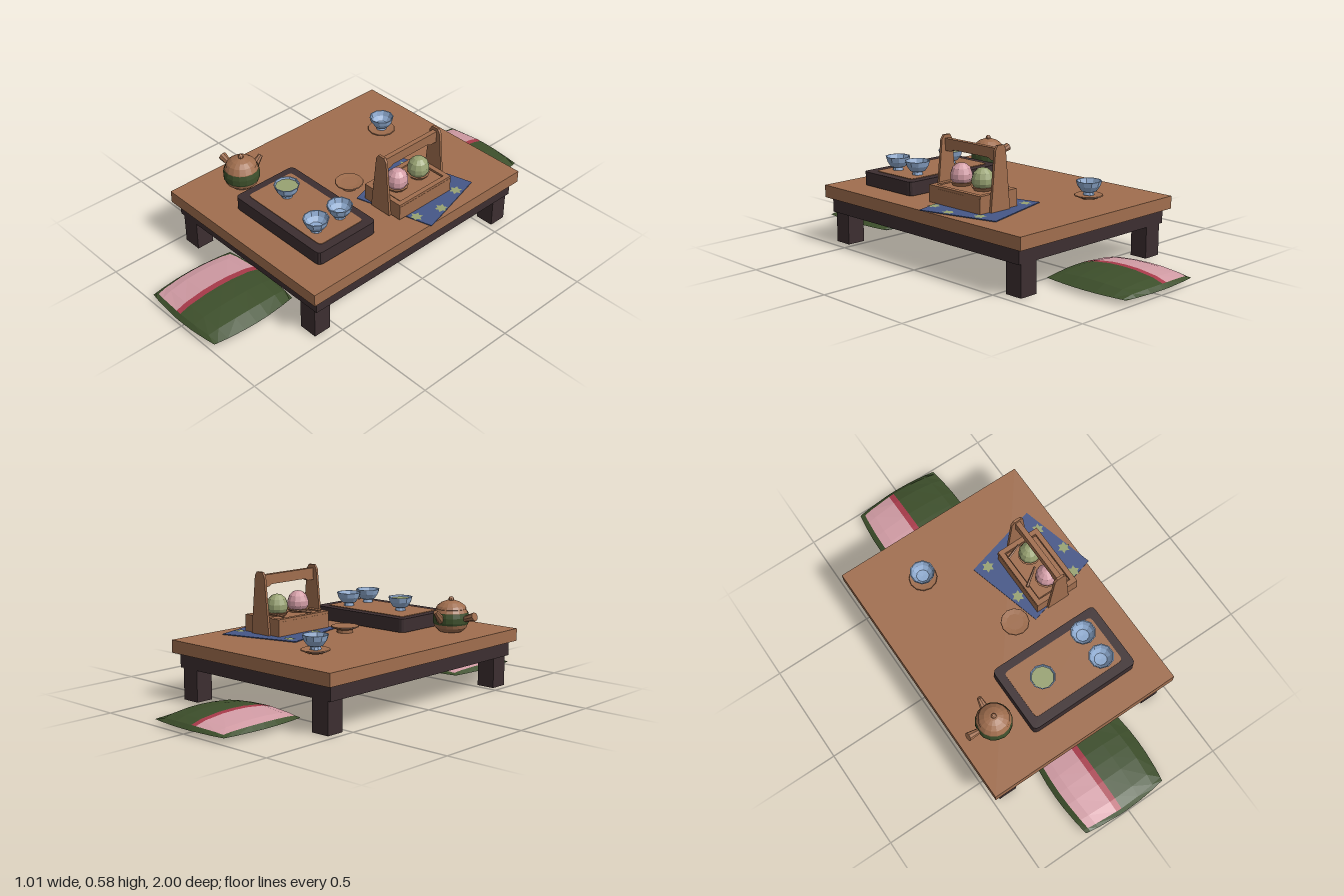
import * as THREE from 'three';

const mat = (name, color, flatShading = true) =>
  Object.assign(new THREE.MeshStandardMaterial({ color, flatShading, side: THREE.DoubleSide }), { name });

export function createModel() {
  const wood = mat('wood', 0xa06e4e);
  const dark = mat('dark wood', 0x3c2e30);
  const glaze = mat('blue glaze', 0x8fabd0);
  const green = mat('dark green', 0x3d4f2b);
  const pink = mat('pink', 0xd29ca5);
  const red = mat('red', 0xa83a4a);
  const blue = mat('cloth blue', 0x465788);
  const matcha = mat('matcha green', 0x98a272);

  const root = new THREE.Group();
  root.name = 'teaTable';
  const add = (name, geo, m, x = 0, y = 0, z = 0, parent = root) => {
    const mesh = new THREE.Mesh(geo, m);
    mesh.name = name;
    mesh.position.set(x, y, z);
    parent.add(mesh);
    return mesh;
  };
  const group = (name, x, y, z) => {
    const g = new THREE.Group();
    g.name = name;
    g.position.set(x, y, z);
    root.add(g);
    return g;
  };
  const box = (name, m, x0, x1, y0, y1, z0, z1, parent) =>
    add(name, new THREE.BoxGeometry(x1 - x0, y1 - y0, z1 - z0), m,
      (x0 + x1) / 2, (y0 + y1) / 2, (z0 + z1) / 2, parent);
  const lathe = (pts, sides) =>
    new THREE.LatheGeometry(pts.map(p => new THREE.Vector2(...p)), sides);
  const rod = (name, m, a, b, r0, r1, sides, parent) => {
    const p = new THREE.Vector3(...a), d = new THREE.Vector3(...b).sub(p);
    const mesh = add(name, new THREE.CylinderGeometry(r1, r0, d.length(), sides), m, 0, 0, 0, parent);
    mesh.position.copy(p).addScaledVector(d, 0.5);
    mesh.quaternion.setFromUnitVectors(new THREE.Vector3(0, 1, 0), d.normalize());
  };

  // Table
  box('tableTop', wood, -0.51, 0.49, 0.22, 0.28, -0.65, 0.65);
  box('apron', dark, -0.485, 0.467, 0.15, 0.22, -0.62, 0.62);
  for (const x of [-0.42, 0.404])
    for (const z of [-0.573, 0.573])
      box('leg', dark, x - 0.046, x + 0.046, 0, 0.15, z - 0.044, z + 0.044);

  // Floor cushions: domed top with a pink panel and red stripe, shallow pyramid below
  const us = [-1, -0.9, -0.72, -0.21, -0.085, 0, 0.35, 0.75, 1];
  const vs = [-1, -0.92, -0.7, -0.3, 0, 0.3, 0.7, 0.92, 1];
  const point = (u, v, top) => [
    u * (0.24 - 0.02 * v * v),
    top ? 0.022 + 0.048 * Math.sqrt((1 - u * u) * (1 - v * v))
      : 0.022 * (1 - (1 - Math.abs(u)) * (1 - Math.abs(v))),
    v * (0.24 - 0.02 * u * u)];
  const cushionPart = (colour) => {
    const pos = [];
    for (let i = 0; i < us.length - 1; i++) for (let j = 0; j < vs.length - 1; j++) {
      const mid = (us[i] + us[i + 1]) / 2, inner = Math.abs(vs[j] + vs[j + 1]) < 1.84;
      const c = !inner || mid < -0.9 || mid > -0.085 ? green : mid < -0.21 ? pink : red;
      for (const top of [true, false]) {
        if ((top ? c : green) !== colour) continue;
        const q = [[0, 0], [0, 1], [1, 1], [1, 0]].map(([a, b]) => point(us[i + a], vs[j + b], top));
        for (const k of top ? [0, 1, 2, 0, 2, 3] : [0, 2, 1, 0, 3, 2]) pos.push(...q[k]);
      }
    }
    const geo = new THREE.BufferGeometry();
    geo.setAttribute('position', new THREE.Float32BufferAttribute(pos, 3));
    geo.computeVertexNormals();
    return geo;
  };
  for (const z of [-0.76, 0.76]) {
    const g = group('cushion', -0.01, 0, z);
    add('cushionBody', cushionPart(green), green, 0, 0, 0, g);
    add('cushionPanel', cushionPart(pink), pink, 0, 0, 0, g);
    add('cushionStripe', cushionPart(red), red, 0, 0, 0, g);
  }

  // Serving tray with rounded corners and a wooden inlay
  const plate = (w, d, r, h) => {
    const s = new THREE.Shape(), a = w / 2, b = d / 2;
    s.moveTo(-a + r, -b).lineTo(a - r, -b).quadraticCurveTo(a, -b, a, -b + r)
      .lineTo(a, b - r).quadraticCurveTo(a, b, a - r, b)
      .lineTo(-a + r, b).quadraticCurveTo(-a, b, -a, b - r)
      .lineTo(-a, -b + r).quadraticCurveTo(-a, -b, -a + r, -b);
    return new THREE.ExtrudeGeometry(s, { depth: h, bevelEnabled: false, curveSegments: 3 }).rotateX(-Math.PI / 2);
  };
  add('tray', plate(0.565, 0.34, 0.025, 0.065), dark, 0.082, 0.285, 0.34);
  add('trayInlay', plate(0.485, 0.255, 0.02, 0.004), wood, 0.08, 0.349, 0.338);

  // Bowls and saucers
  const bowlGeo = lathe([[0, 0], [0.026, 0], [0.023, 0.014], [0.036, 0.018], [0.053, 0.042], [0.06, 0.066],
    [0.055, 0.066], [0.047, 0.042], [0.03, 0.022], [0, 0.02]], 10);
  for (const [x, y, z] of [[-0.04, 0.353, 0.34], [0.235, 0.353, 0.27], [0.235, 0.353, 0.41], [-0.2, 0.299, -0.415]])
    add('bowl', bowlGeo, glaze, x, y, z);
  add('tea', new THREE.CylinderGeometry(0.052, 0.05, 0.004, 10), matcha, -0.04, 0.408, 0.34);
  const saucerGeo = lathe([[0, 0], [0.04, 0], [0.068, 0.012], [0.066, 0.016], [0.04, 0.013], [0, 0.013]], 12);
  add('saucer', saucerGeo, wood, -0.2, 0.284, -0.415);
  add('emptySaucer', saucerGeo, wood, 0.03, 0.296, 0.02);
  add('saucerFoot', new THREE.CylinderGeometry(0.04, 0.04, 0.015, 12), wood, 0.03, 0.289, 0.02);

  // Side-handled teapot
  const pot = group('teapot', -0.328, 0.285, 0.37);
  add('potBody', lathe([[0, 0], [0.055, 0], [0.076, 0.02], [0.084, 0.045], [0.084, 0.068], [0.078, 0.093],
    [0.07, 0.107], [0.073, 0.109], [0.066, 0.121], [0.045, 0.137], [0.02, 0.146], [0, 0.147]], 16), wood, 0, 0, 0, pot);
  add('potBand', lathe([[0.082, 0.036], [0.086, 0.045], [0.086, 0.07], [0.081, 0.092]], 16), green, 0, 0, 0, pot);
  add('lidKnob', new THREE.SphereGeometry(0.013, 8, 6), wood, 0, 0.152, 0, pot);
  rod('potHandle', wood, [-0.07, 0.062, 0], [-0.14, 0.084, 0], 0.012, 0.021, 8, pot);
  rod('potSpout', wood, [0, 0.058, -0.07], [0, 0.105, -0.118], 0.022, 0.011, 8, pot);

  // Patterned cloth
  const cloth = group('cloth', 0.262, 0.282, -0.18);
  cloth.rotation.y = 0.262;
  box('clothSheet', blue, -0.196, 0.196, 0, 0.004, -0.194, 0.194, cloth);
  const flower = new THREE.Shape();
  for (let i = 0; i < 12; i++) {
    const r = i % 2 ? 0.018 : 0.031, a = i * Math.PI / 6;
    flower[i ? 'lineTo' : 'moveTo'](r * Math.cos(a), r * Math.sin(a));
  }
  const flowerGeo = new THREE.ShapeGeometry(flower).rotateX(-Math.PI / 2);
  for (const [x, z] of [[0.088, -0.29], [0.395, -0.315], [0.443, -0.167], [0.12, -0.085], [0.41, -0.04]])
    add('clothFlower', flowerGeo, matcha, x, 0.2875, z);

  // Sweets box with end boards and a carrying bar
  const caddy = group('sweetsBox', 0.262, 0.285, -0.132);
  box('boxBase', wood, -0.113, 0.113, 0.002, 0.07, -0.165, 0.165, caddy);
  box('boxShelf', wood, -0.085, 0.085, 0.07, 0.078, -0.135, 0.135, caddy);
  for (const s of [-1, 1]) {
    box('boxRimSide', wood, s * 0.1 - 0.012, s * 0.1 + 0.012, 0.07, 0.082, -0.165, 0.165, caddy);
    box('boxRimEnd', wood, -0.09, 0.09, 0.07, 0.082, s * 0.153 - 0.012, s * 0.153 + 0.012, caddy);
  }
  const board = new THREE.Shape([[-0.058, 0], [0.058, 0], [0.031, 0.275], [0.018, 0.295], [-0.018, 0.295],
    [-0.031, 0.275]].map(p => new THREE.Vector2(...p)));
  const boardGeo = new THREE.ExtrudeGeometry(board, { depth: 0.012, bevelEnabled: false });
  for (const z of [-0.177, 0.165]) add('endBoard', boardGeo, wood, 0, 0, z, caddy);
  const bar = new THREE.Shape([[-0.177, 0.222], [-0.13, 0.222], [-0.11, 0.232], [0.11, 0.232], [0.13, 0.222],
    [0.177, 0.222], [0.177, 0.279], [-0.177, 0.279]].map(p => new THREE.Vector2(...p)));
  add('carryBar', new THREE.ExtrudeGeometry(bar, { depth: 0.024, bevelEnabled: false })
    .rotateY(Math.PI / 2), wood, -0.012, 0, 0, caddy);

  // Sweets and picks
  const sweetGeo = lathe([[0, 0], [0.042, 0], [0.051, 0.018], [0.051, 0.04], [0.042, 0.065], [0.022, 0.083], [0, 0.088]], 12);
  add('pinkSweet', sweetGeo, pink, 0, 0.092, 0.072, caddy);
  add('greenSweet', sweetGeo, matcha, 0, 0.092, -0.066, caddy);
  for (const z of [0.072, -0.066])
    add('sweetDish', new THREE.CylinderGeometry(0.054, 0.042, 0.016, 10), wood, 0, 0.086, z, caddy);
  rod('pick', wood, [-0.1, 0.088, 0.06], [-0.015, 0.096, 0], 0.007, 0.004, 5, caddy);
  rod('pick', wood, [-0.09, 0.088, -0.108], [-0.015, 0.096, -0.135], 0.007, 0.004, 5, caddy);

  return root;
}
